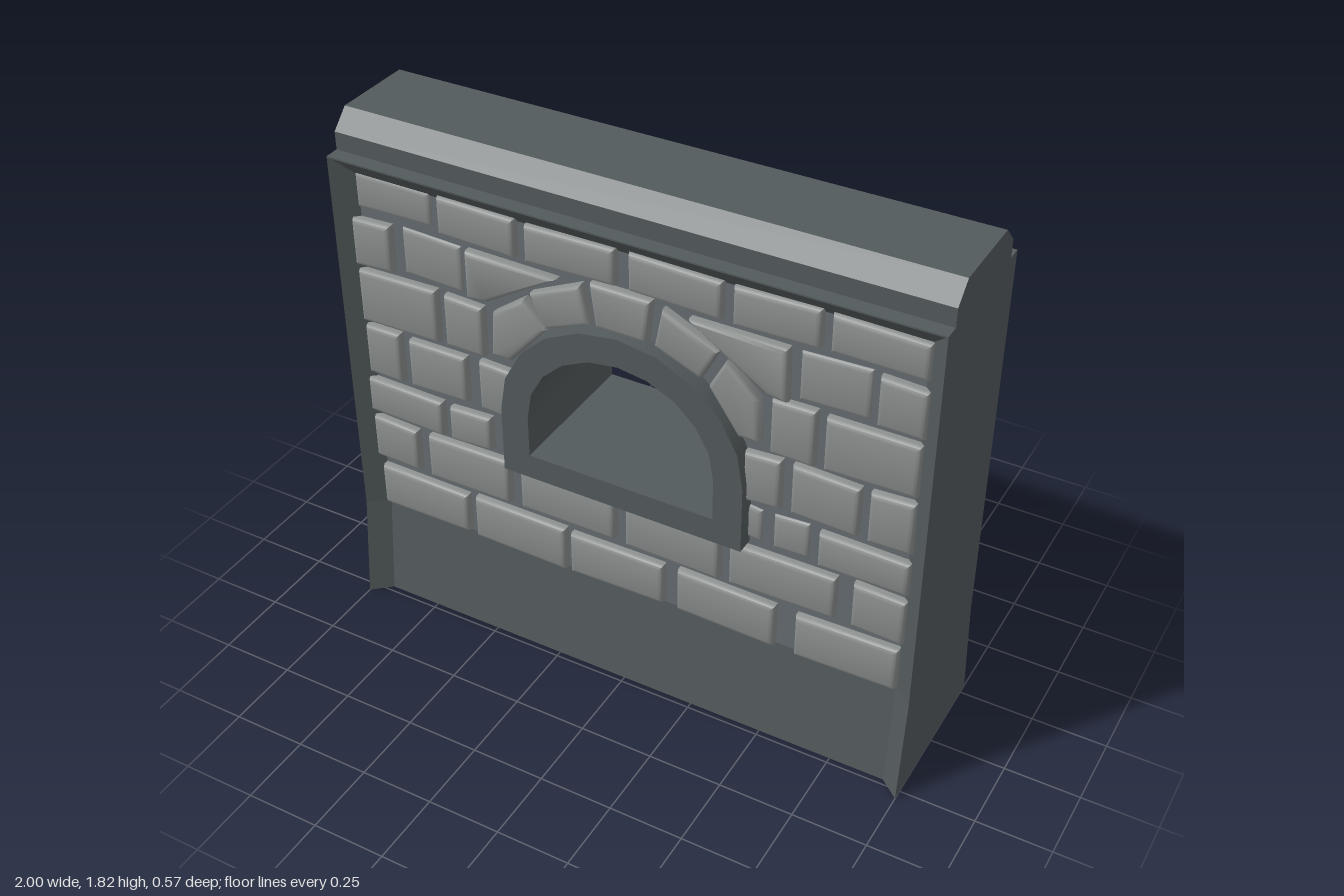
import * as THREE from 'three';
import { toCreasedNormals } from 'three/addons/utils/BufferGeometryUtils.js';

const slate = new THREE.MeshStandardMaterial({ color: 0x535a5c });
const mortar = new THREE.MeshStandardMaterial({ color: 0x646b71 });
const stone = new THREE.MeshStandardMaterial({ color: 0x8a8e8d });

const FACE = 0.195; // z of the recessed wall face
const polygon = (pts) => new THREE.Shape(pts.map(([x, y]) => new THREE.Vector2(x, y)));

function add(group, name, geometry, material) {
  const mesh = new THREE.Mesh(geometry, material);
  mesh.name = name;
  group.add(mesh);
  return mesh;
}

// Flat four-cornered faces, corners counter-clockwise
function quads(list) {
  const pos = list.flatMap(([a, b, c, d]) => [a, b, c, a, c, d].flat());
  const g = new THREE.BufferGeometry();
  g.setAttribute('position', new THREE.Float32BufferAttribute(pos, 3));
  g.computeVertexNormals();
  return g;
}

// D-shaped window outline: straight sill and a faceted elliptical arch
function archPoints(halfWidth, sill, spring, top) {
  const pts = [[0.005 - halfWidth, sill], [0.005 + halfWidth, sill]];
  for (let i = 0; i <= 10; i++) {
    const a = (Math.PI * i) / 10;
    pts.push([0.005 + halfWidth * Math.cos(a), spring + (top - spring) * Math.sin(a)]);
  }
  return pts;
}

// One pillow-edged stone from a corner outline
function stoneGeometry(pts, front) {
  const b = 0.016, back = FACE - 0.03;
  const g = new THREE.ExtrudeGeometry(polygon(pts), {
    depth: front - back - b, bevelThickness: b, bevelSize: b, bevelOffset: -b, bevelSegments: 2,
  });
  g.translate(0, 0, back);
  return toCreasedNormals(g, 0.9);
}

// Courses: bottom, top, then stones as [x0, x1, set flush]
const courses = [
  [1.515, 1.64, [[-.94, -.665, 1], [-.63, -.36], [-.325, -.02], [.025, .325], [.36, .63], [.66, .95]]],
  [1.32, 1.485, [[-.955, -.815], [-.78, -.565, 1], [.565, .785, 1], [.81, .955]]],
  [1.115, 1.3, [[-.95, -.66], [-.63, -.49], [.49, .63], [.66, .95]]],
  [.915, 1.09, [[-.945, -.815], [-.78, -.565], [-.515, -.39], [.41, .53], [.565, .78], [.81, .95]]],
  [.755, .88, [[-.955, -.67], [-.64, -.485], [.41, .47, 1], [.505, .625, 1], [.66, .95]]],
  [.57, .73, [[-.95, -.78], [-.735, -.425], [-.38, -.035], [.005, .335], [.37, .725], [.78, .95]]],
  [.378, .535, [[-.935, -.595], [-.565, -.22], [-.2, .14], [.19, .53], [.6, .94]]],
];

// Wedge stones over the arch and the two corner fillers beside them
const archStones = [
  [[-.46, 1.14], [-.39, 1.14], [-.26, 1.29], [-.335, 1.38], [-.45, 1.295]],
  [[-.315, 1.405], [-.26, 1.295], [-.105, 1.36], [-.135, 1.49]],
  [[-.105, 1.505], [-.085, 1.36], [.085, 1.36], [.1, 1.505]],
  [[.135, 1.49], [.11, 1.36], [.265, 1.295], [.32, 1.405]],
  [[.345, 1.385], [.29, 1.28], [.39, 1.135], [.46, 1.135], [.45, 1.285]],
  [[-.54, 1.485], [-.54, 1.32], [-.47, 1.325], [-.22, 1.48]],
  [[.22, 1.485], [.475, 1.31], [.54, 1.305], [.535, 1.485]],
];

// One face of the wall: splayed border, plinth, mortar and stones
function createFace() {
  const face = new THREE.Group();

  // Border edge points, outer (o) and inner (i), for side s
  const o = (s) => [[s, 0, .285], [s, .37, .25], [s, 1.695, .25]];
  const i = (s) => [[.935 * s, 0, .23], [.935 * s, .37, FACE], [.935 * s, 1.625, FACE]];
  const [oL, iL, oR, iR] = [o(1), i(1), o(-1), i(-1)];
  add(face, 'splayedBorder', quads([
    [iL[0], oL[0], oL[1], iL[1]], [iL[1], oL[1], oL[2], iL[2]],
    [oR[0], iR[0], iR[1], oR[1]], [oR[1], iR[1], iR[2], oR[2]],
    [iR[2], iL[2], oL[2], oR[2]],
  ]), slate);
  add(face, 'plinth', quads([[iR[0], iL[0], iL[1], iR[1]]]), slate);

  // Mortar sheet, open behind the window surround
  const sheet = polygon([[-.935, .37], [.935, .37], [.935, 1.625], [-.935, 1.625]]);
  sheet.holes.push(polygon(archPoints(.37, .78, .97, 1.315).reverse()));
  add(face, 'mortar', new THREE.ShapeGeometry(sheet).translate(0, 0, FACE), mortar);

  courses.forEach(([y0, y1, row], r) => row.forEach(([x0, x1, flush], k) => {
    const j = (n) => 0.005 * Math.sin(r * 5.3 + k * 2.7 + n * 1.9); // slight unevenness
    const pts = [[x0, y0 + j(0)], [x1, y0 + j(1)], [x1, y1 + j(2)], [x0, y1 + j(3)]];
    add(face, 'stone', stoneGeometry(pts, flush ? FACE + .012 : FACE + .033), stone);
  }));
  archStones.forEach((pts) => add(face, 'archStone', stoneGeometry(pts, FACE + .035), stone));
  return face;
}

export function createModel() {
  const model = new THREE.Group();

  // Front and back faces match under a half turn
  [0, Math.PI].forEach((turn, n) => {
    const face = createFace();
    face.name = n ? 'backFace' : 'frontFace';
    face.rotation.y = turn;
    model.add(face);
  });

  // Flat ends
  const end = [[-.285, 0], [.285, 0], [.25, .37], [.25, 1.695], [-.25, 1.695], [-.25, .37]];
  for (const s of [-1, 1]) {
    const mesh = add(model, s > 0 ? 'leftEnd' : 'rightEnd', new THREE.ShapeGeometry(polygon(end)), slate);
    mesh.rotation.y = (s * Math.PI) / 2;
    mesh.position.x = s;
  }

  // Underside
  const under = polygon([[-1, -.285], [-.935, -.23], [.935, -.23], [1, -.285],
    [1, .285], [.935, .23], [-.935, .23], [-1, .285]]);
  add(model, 'underside', new THREE.ShapeGeometry(under).rotateX(Math.PI / 2), slate);

  // Ledge and chamfered coping
  const cap = polygon([[-.25, 1.69], [.25, 1.69], [.25, 1.695], [.2, 1.695], [.2, 1.755], [.14, 1.815],
    [-.14, 1.815], [-.2, 1.755], [-.2, 1.695], [-.25, 1.695]]);
  add(model, 'coping', new THREE.ExtrudeGeometry(cap, { depth: 2, bevelEnabled: false })
    .translate(0, 0, -1).rotateY(Math.PI / 2), slate);

  // Window surround running through the whole wall
  const surround = polygon(archPoints(.42, .738, .97, 1.364));
  surround.holes.push(polygon(archPoints(.323, .825, .97, 1.267).reverse()));
  const ring = new THREE.ExtrudeGeometry(surround, { depth: .51, bevelEnabled: false }).translate(0, 0, -.255);
  add(model, 'windowSurround', toCreasedNormals(ring, 0.5), slate);

  return model;
}
